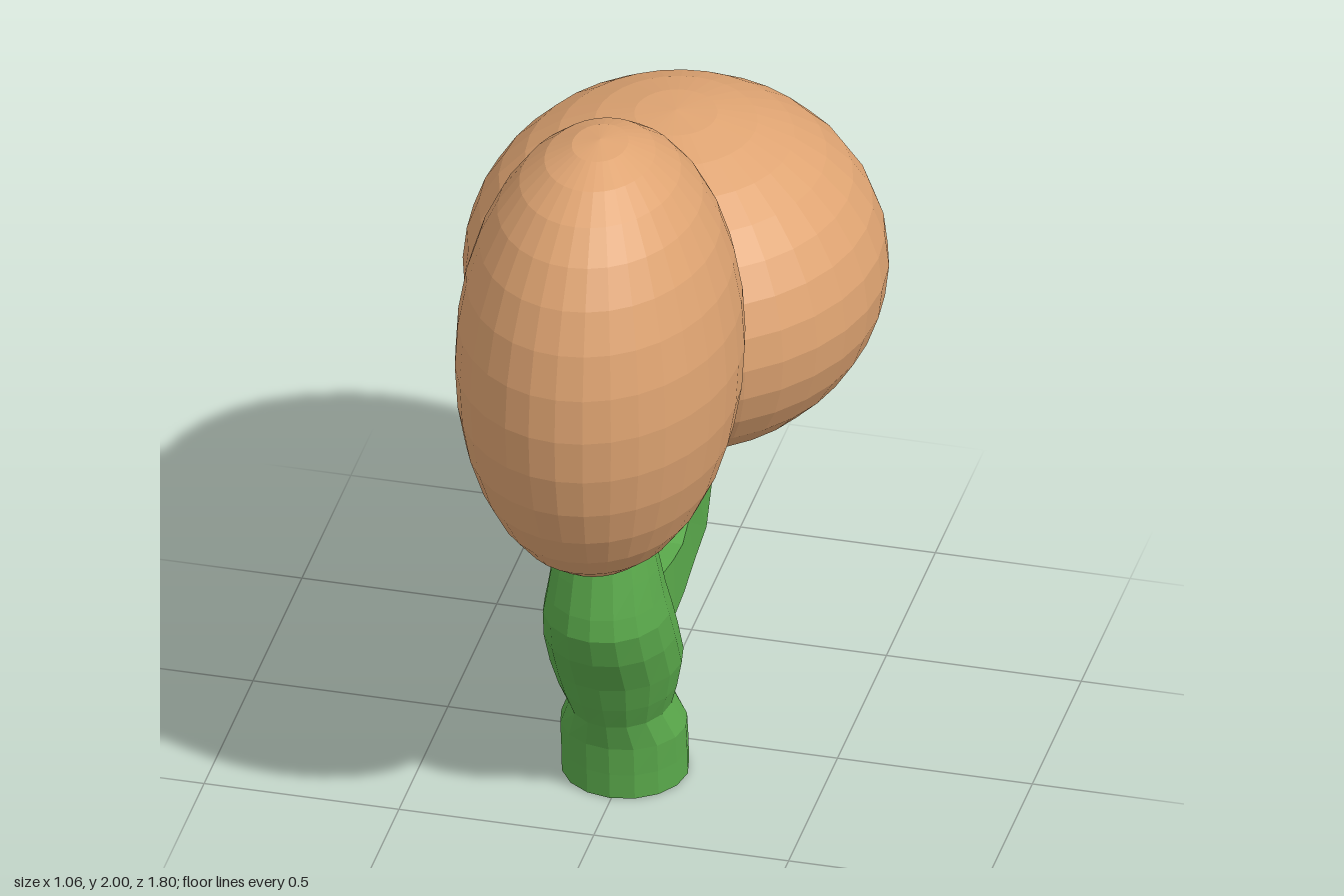
import * as THREE from 'three';

// Skin a list of equal-length cross-sections and close both ends.
function loft(rings) {
  const n = rings[0].length;
  const pos = rings.flat(2);
  const index = [];
  for (let r = 0; r < rings.length - 1; r++) {
    for (let i = 0; i < n; i++) {
      const a = r * n + i, b = r * n + (i + 1) % n;
      index.push(a, a + n, b, b, a + n, b + n);
    }
  }
  const last = (rings.length - 1) * n;
  [[0, false], [last, true]].forEach(([start, top]) => {
    const c = pos.length / 3;
    for (let k = 0; k < 3; k++) {
      let sum = 0;
      for (let i = 0; i < n; i++) sum += pos[(start + i) * 3 + k];
      pos.push(sum / n);
    }
    for (let i = 0; i < n; i++) {
      const a = start + i, b = start + (i + 1) % n;
      index.push(...(top ? [c, b, a] : [c, a, b]));
    }
  });
  const geo = new THREE.BufferGeometry();
  geo.setAttribute('position', new THREE.Float32BufferAttribute(pos, 3));
  geo.setIndex(index);
  const flat = geo.toNonIndexed();
  flat.computeVertexNormals();
  return flat;
}

export function createModel() {
  const group = new THREE.Group();
  const foliage = new THREE.MeshStandardMaterial({ name: 'foliage tan', color: 0xdfa472, flatShading: true });
  const bark = new THREE.MeshStandardMaterial({ name: 'stem green', color: 0x5bab4c, flatShading: true });

  const add = (name, geo, mat) => {
    const mesh = new THREE.Mesh(geo, mat);
    mesh.name = name;
    group.add(mesh);
    return mesh;
  };

  // Two faceted egg-shaped crowns
  const crown = (name, radii, centre) => {
    const mesh = add(name, new THREE.SphereGeometry(1, 32, 16), foliage);
    mesh.scale.set(...radii);
    mesh.position.set(...centre);
  };
  crown('frontCrown', [0.355, 0.61, 0.467], [0, 1.39, 0.435]);
  crown('backCrown', [0.53, 0.445, 0.56], [0, 1.175, -0.34]);

  // Leaning trunk: height, centre z, radius x, radius z, z of the root fin
  const sides = 16;
  const trunk = [
    [0, 0.16, 0.16, 0.16, -0.11],
    [0.07, 0.165, 0.16, 0.16, -0.07],
    [0.15, 0.178, 0.16, 0.155, -0.02],
    [0.23, 0.205, 0.13, 0.155, 0.02],
    [0.30, 0.23, 0.15, 0.165, 0.06],
    [0.38, 0.25, 0.167, 0.18, 0.06],
    [0.49, 0.31, 0.167, 0.185],
    [0.58, 0.348, 0.16, 0.18],
    [0.64, 0.357, 0.148, 0.165],
    [0.72, 0.362, 0.135, 0.143],
    [0.84, 0.365, 0.112, 0.115],
  ].map(([y, cz, rx, rz, fin]) => Array.from({ length: sides }, (_, i) => {
    const a = -i / sides * Math.PI * 2;
    const back = i === sides / 2 && fin !== undefined;
    return [Math.sin(a) * rx - 0.004, y, back ? fin : cz + Math.cos(a) * rz];
  }));
  add('trunk', loft(trunk), bark);

  // Square branch curving up: inner z, y, outer z, y, left x, right x
  const branch = [
    [0.20, 0.58, 0.13, 0.40, 0.09, -0.10],
    [0.08, 0.57, 0.05, 0.39, 0.10, -0.13],
    [-0.01, 0.56, -0.04, 0.40, 0.10, -0.15],
    [-0.07, 0.59, -0.15, 0.43, 0.10, -0.16],
    [-0.12, 0.65, -0.23, 0.48, 0.11, -0.165],
    [-0.15, 0.71, -0.30, 0.60, 0.11, -0.165],
    [-0.165, 0.81, -0.33, 0.78, 0.11, -0.165],
  ].map(([iz, iy, oz, oy, l, r]) => [
    [l, iy, iz], [r, iy, iz], [r, oy, oz], [l, oy + 0.01, oz + 0.015],
  ].reverse());
  // Reversed corners run the other way round, so flip back to face outwards
  add('branch', loft(branch.map((ring) => ring.slice().reverse())), bark);

  return group;
}
